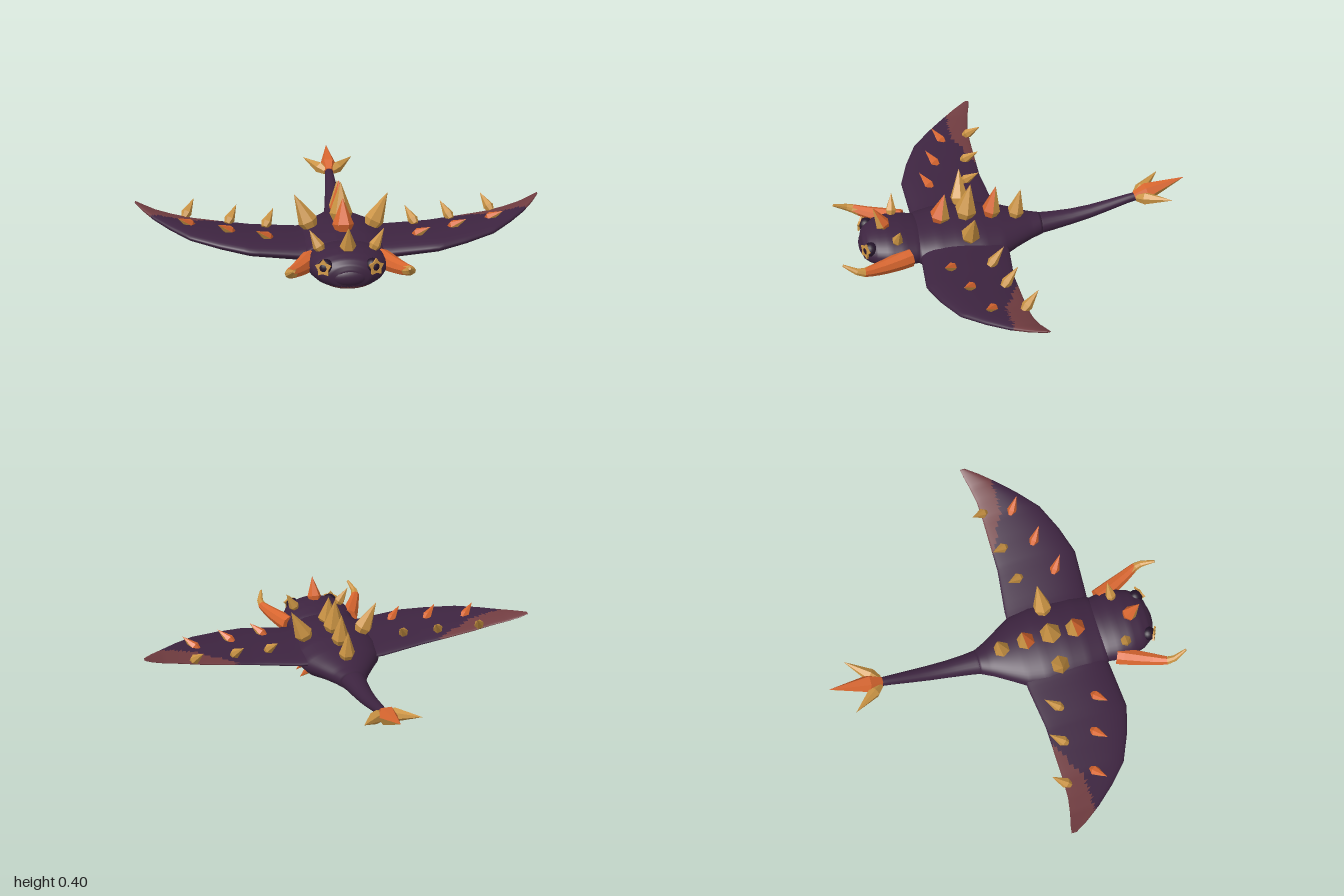
import * as THREE from 'three';

const mat = (name, color) => Object.assign(new THREE.MeshStandardMaterial({ color }), { name });
const skin = mat('purple skin', 0x3d2440);
const maroon = mat('maroon patch', 0x703c40);
const gold = mat('gold spine', 0xcb9444);
const orange = mat('orange horn', 0xd8662f);
const dark = mat('dark eye', 0x24142a);

const V = (x, y, z) => new THREE.Vector3(x, y, z);

// Skin a list of rings into a closed solid; rule(centroid) picks the second material.
function loft(name, rings, mats, rule = () => false, flat = false) {
  const n = rings[0].length, pts = rings.flat(), tris = [];
  for (let i = 0; i < rings.length - 1; i++)
    for (let j = 0; j < n; j++) {
      const a = i * n + j, b = i * n + (j + 1) % n;
      tris.push([a, b, a + n], [b, b + n, a + n]);
    }
  [[0, rings[0]], [(rings.length - 1) * n, rings.at(-1)]].forEach(([start, ring], end) => {
    const c = pts.length;
    pts.push(ring.reduce((s, p) => s.add(p), V(0, 0, 0)).divideScalar(n));
    for (let j = 0; j < n; j++) {
      const a = start + j, b = start + (j + 1) % n;
      tris.push(end ? [a, b, c] : [b, a, c]);
    }
  });
  // make the faces point outwards
  let volume = 0;
  for (const [a, b, c] of tris) volume += pts[a].dot(V(0, 0, 0).crossVectors(pts[b], pts[c]));
  if (volume < 0) tris.forEach(t => t.reverse());
  const sets = [[], []];
  for (const t of tris) {
    const mid = V(0, 0, 0);
    t.forEach(k => mid.addScaledVector(pts[k], 1 / 3));
    sets[rule(mid) ? 1 : 0].push(...t);
  }
  let geo = new THREE.BufferGeometry().setFromPoints(pts);
  geo.setIndex([...sets[0], ...sets[1]]);
  geo.addGroup(0, sets[0].length, 0);
  geo.addGroup(sets[0].length, sets[1].length, 1);
  if (flat) geo = geo.toNonIndexed();
  geo.computeVertexNormals();
  const mesh = new THREE.Mesh(geo, mats);
  mesh.name = name;
  return mesh;
}

// Insert evenly spaced stations between the given ones
function refine(stations, k) {
  const out = [];
  for (let i = 0; i < stations.length - 1; i++)
    for (let s = 0; s < k; s++)
      out.push(stations[i].map((v, c) => v + (stations[i + 1][c] - v) * s / k));
  out.push(stations.at(-1));
  return out;
}

// Elliptical ring across z: [z, half width, bottom, top]
const ringZ = n => ([z, w, lo, hi]) => Array.from({ length: n }, (_, j) => {
  const a = j / n * Math.PI * 2;
  return V(w * Math.cos(a), (lo + hi) / 2 + (hi - lo) / 2 * Math.sin(a), z);
});

// Faceted spine from base to tip; accented ones are orange on the side away from the lean
function spike(name, base, tip, r, accent = false) {
  const dir = V(0, 0, 0).subVectors(tip, base), L = dir.length();
  const rings = [[0, 0.6], [0.25, 1], [1, 0.02]].map(([h, s]) =>
    Array.from({ length: 6 }, (_, j) => {
      const a = j / 6 * Math.PI * 2;
      return V(r * s * Math.cos(a), h * L, r * s * Math.sin(a));
    }));
  const rule = p => accent && p.x * dir.x + p.z * dir.z < -0.01 * r * Math.hypot(dir.x, dir.z);
  const mesh = loft(name, rings, [gold, orange], rule, true);
  mesh.position.copy(base);
  mesh.quaternion.setFromUnitVectors(V(0, 1, 0), dir.normalize());
  return mesh;
}

function wing(s) {
  // stations: x, rear z, front z, centre y, half thickness
  const stations = refine([
    [0.1, 0.06, 0.49, 0.125, 0.06], [0.22, 0.065, 0.5, 0.13, 0.055], [0.44, 0.09, 0.51, 0.153, 0.045],
    [0.58, 0.09, 0.465, 0.172, 0.038], [0.72, 0.09, 0.4, 0.193, 0.031], [0.82, 0.085, 0.305, 0.215, 0.025],
    [0.9, 0.07, 0.215, 0.235, 0.018], [0.96, 0.053, 0.135, 0.257, 0.012], [1, 0.045, 0.07, 0.275, 0.005]], 5);
  const rings = stations.map(([x, zr, zf, y, t]) => Array.from({ length: 40 }, (_, j) => {
    const a = j / 40 * Math.PI * 2, u = (1 - Math.cos(a)) / 2;
    return V(s * x, y + t * Math.sin(a) * (0.55 + 0.45 * u), zr + (zf - zr) * u);
  }));
  const edge = x => Math.min(0.19, 0.1 + (x - 0.54) * 0.45);
  return loft('wing', rings, [skin, maroon], p => {
    const x = Math.abs(p.x);
    return x > 0.54 && p.z < edge(x);
  });
}

function horn(s) {
  const curve = new THREE.CatmullRomCurve3([V(0.165, 0.13, 0.55), V(0.2, 0.133, 0.63),
    V(0.24, 0.142, 0.72), V(0.272, 0.16, 0.8), V(0.252, 0.2, 0.88)].map(p => p.setX(p.x * s)));
  const N = 10, { normals, binormals } = curve.computeFrenetFrames(N);
  const rings = Array.from({ length: N + 1 }, (_, i) => {
    const r = 0.047 - 0.041 * Math.pow(i / N, 1.4), c = curve.getPointAt(i / N);
    return Array.from({ length: 8 }, (_, j) => {
      const a = j / 8 * Math.PI * 2;
      return c.clone().addScaledVector(normals[i], r * Math.cos(a)).addScaledVector(binormals[i], r * Math.sin(a));
    });
  });
  return loft('horn', rings, [orange, gold], p => p.z > 0.77, true);
}

function eye(s) {
  const g = new THREE.Group();
  g.name = 'eye';
  const ball = new THREE.Mesh(new THREE.SphereGeometry(0.036, 16, 12), dark);
  ball.name = 'eyeball';
  // five-pointed rim with a round opening
  const star = new THREE.Shape(Array.from({ length: 10 }, (_, i) => {
    const a = i / 10 * Math.PI * 2 + Math.PI / 2, r = i % 2 ? 0.026 : 0.04;
    return new THREE.Vector2(r * Math.cos(a), r * Math.sin(a));
  }));
  star.holes.push(new THREE.Path().absarc(0, 0, 0.017, 0, Math.PI * 2, true));
  const rim = new THREE.Mesh(new THREE.ExtrudeGeometry(star, { depth: 0.009, bevelEnabled: false }), gold);
  rim.name = 'eyeRim';
  rim.position.z = 0.026;
  g.add(ball, rim);
  g.position.set(s * 0.105, 0.162, 0.732);
  g.rotation.set(-0.15, s * 0.45, 0);
  return g;
}

export function createModel() {
  const model = new THREE.Group();
  model.name = 'spinedRay';

  // Body, tail and head
  model.add(loft('body', refine([
    [-0.14, 0.065, 0.065, 0.165], [-0.08, 0.095, 0.058, 0.17], [0, 0.145, 0.045, 0.185], [0.08, 0.195, 0.022, 0.2],
    [0.18, 0.22, 0.012, 0.215], [0.3, 0.222, 0.01, 0.22], [0.4, 0.218, 0.02, 0.215], [0.49, 0.195, 0.035, 0.2],
    [0.53, 0.15, 0.06, 0.175]], 5).map(ringZ(48)), [skin, maroon],
  p => p.y < 0.07 && ((p.z - 0.2) / 0.145) ** 2 + (p.x / 0.18) ** 2 < 1));
  model.add(loft('tail', refine([
    [-0.1, 0.07, 0.063, 0.165], [-0.2, 0.055, 0.075, 0.165], [-0.3, 0.045, 0.094, 0.168], [-0.4, 0.038, 0.117, 0.18],
    [-0.5, 0.031, 0.146, 0.2], [-0.6, 0.024, 0.177, 0.222], [-0.66, 0.021, 0.19, 0.232]], 2).map(ringZ(20)), [skin, skin]));
  model.add(loft('head', refine([
    [0.44, 0.15, 0.06, 0.18], [0.5, 0.178, 0.038, 0.205], [0.57, 0.188, 0.035, 0.218], [0.64, 0.182, 0.04, 0.222],
    [0.7, 0.162, 0.048, 0.215], [0.74, 0.133, 0.058, 0.2], [0.765, 0.095, 0.07, 0.18], [0.775, 0.05, 0.09, 0.155]], 4)
    .map(ringZ(40)), [skin, maroon], p => p.y < 0.078 && p.z > 0.61));
  const snout = new THREE.Mesh(new THREE.SphereGeometry(1, 24, 16), skin);
  snout.name = 'snout';
  snout.scale.set(0.08, 0.042, 0.03);
  snout.position.set(0, 0.12, 0.755);
  model.add(snout);

  // Spines along the back and on the head
  [[0.38, 0.345, 0.36, true], [0.25, 0.215, 0.4, false], [0.12, 0.088, 0.372, true], [-0.005, -0.037, 0.335, false]]
    .forEach(([z, tz, ty, accent], i) => model.add(
      spike('backSpine', V(0, [0.2, 0.205, 0.195, 0.17][i], z), V(0, ty, tz), [0.052, 0.056, 0.047, 0.042][i], accent)));
  model.add(spike('crownSpine', V(0, 0.2, 0.645), V(0, 0.33, 0.7), 0.038, true));

  // Tail blades
  model.add(spike('tailBlade', V(0, 0.205, -0.635), V(0, 0.29, -0.89), 0.046, true));

  for (const s of [1, -1]) {
    model.add(wing(s), horn(s), eye(s));
    model.add(spike('sideTailBlade', V(s * 0.015, 0.207, -0.645), V(s * 0.135, 0.25, -0.79), 0.033));
    model.add(spike('shoulderSpine', V(s * 0.14, 0.175, 0.25), V(s * 0.225, 0.35, 0.235), 0.048));
    model.add(spike('browSpine', V(s * 0.115, 0.19, 0.605), V(s * 0.17, 0.29, 0.59), 0.028));
    // Two rows on each wing
    for (const [x, y, z] of [[0.34, 0.185, 0.36], [0.52, 0.2, 0.3], [0.71, 0.215, 0.235]])
      model.add(spike('frontWingSpine', V(s * x, y - 0.012, z), V(s * (x + 0.07), y + 0.045, z + 0.055), 0.025, true));
    for (const [x, y, z] of [[0.385, 0.185, 0.195], [0.565, 0.197, 0.165], [0.775, 0.218, 0.115]])
      model.add(spike('rearWingSpine', V(s * (x - 0.015), y - 0.012, z), V(s * (x - 0.06), y + 0.06, z - 0.08), 0.026));
    // Small spines beside the belly
    for (const z of [0.34, 0.255, 0.17])
      model.add(spike('bellySpine', V(s * 0.15, 0.05, z), V(s * 0.2, 0.004, z + 0.01), 0.018, true));
  }
  return model;
}
